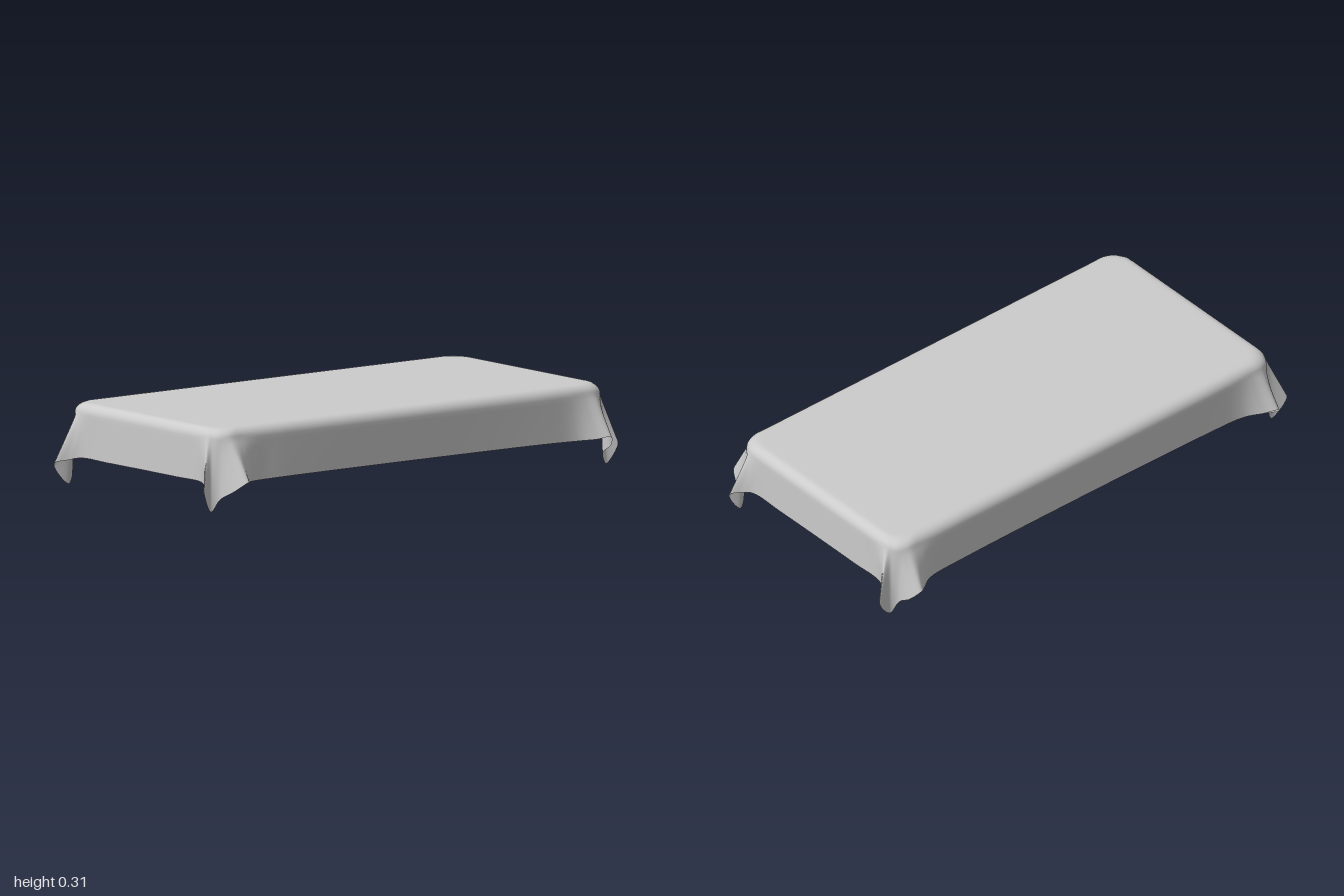
import * as THREE from 'three';

const TOP = 0.315, ROUND = 0.04, EDGE_Y = TOP - ROUND;
const HALF_X = 0.93, FRONT = 0.44, BACK = -0.47, MID_Z = (FRONT + BACK) / 2;
const STEPS = 8; // columns between two control points

// One corner, walked from the long side to the short side.
// [edge x, edge z offset, hem x, hem z offset, hem y, pull of long-side ear, pull of short-side ear]
const CORNER = [
  [0.60, 0, 0.60, 0, 0.111, 0, 0],
  [0.74, 0, 0.77, 0.01, 0.11, 0, 0],
  [0.81, 0, 0.83, 0.01, 0.115, 0.5, 0],
  [0.86, 0, 0.87, 0, 0.123, 1, 0],
  [0.885, -0.008, 0.90, 0, 0.085, 0.55, 0],
  [0.905, -0.022, 0.907, -0.01, 0.05, 0, 0],
  [0.918, -0.042, 0.937, -0.025, 0.005, 0, 0],
  [0.927, -0.06, 0.93, -0.015, 0.085, 0, 1],
  [0.93, -0.09, 0.93, -0.05, 0.10, 0, 0.4],
  [0.93, -0.13, 0.933, -0.09, 0.11, 0, 0],
  [0.93, -0.25, 0.93, -0.25, 0.111, 0, 0],
];

// Side signs and the small differences between the four draped corners
const CORNERS = [
  { sx: 1, sz: 1, shift: 0.015, earZ: 0.07, earX: 0.055 },
  { sx: 1, sz: -1, shift: -0.005, earZ: 0.07, earX: 0.07 },
  { sx: -1, sz: -1, shift: 0.015, earZ: 0.07, earX: 0.07 },
  { sx: -1, sz: 1, shift: -0.02, earZ: 0.09, earX: 0.05 },
];

// Closed curves for the table edge and for the hem, with matching points
function buildLoops() {
  const edge = [], hem = [];
  for (const { sx, sz, shift, earZ, earX } of CORNERS) {
    const side = sz > 0 ? FRONT : -BACK;
    const rows = sx * sz > 0 ? CORNER : [...CORNER].reverse();
    for (const [ex, ez, hx, hz, hy, a, b] of rows) {
      edge.push(new THREE.Vector3(sx * ex, EDGE_Y, sz * (side + ez)));
      hem.push(new THREE.Vector3(sx * (hx + a * shift + b * earX), hy, sz * (side + hz + a * earZ)));
    }
  }
  return [edge, hem].map((points) => new THREE.CatmullRomCurve3(points, true));
}

// Points of one strip from the middle of the top, over the edge, down to the hem
function strip(e, h) {
  const inX = e.x * (1 - ROUND / HALF_X);
  const inZ = MID_Z + (e.z - MID_Z) * (1 - ROUND / (FRONT - MID_Z));
  const points = [];
  for (const s of [0, 0.5, 0.9, 0.98]) {
    points.push([inX * s, TOP, MID_Z + (inZ - MID_Z) * s]);
  }
  for (let k = 0; k <= 6; k++) {
    const angle = (k / 6) * Math.PI / 2, out = Math.sin(angle);
    points.push([inX + (e.x - inX) * out, EDGE_Y + ROUND * Math.cos(angle), inZ + (e.z - inZ) * out]);
  }
  for (let k = 1; k <= 10; k++) points.push(e.clone().lerp(h, k / 10).toArray());
  return points;
}

function clothGeometry() {
  const [edge, hem] = buildLoops();
  const columns = CORNERS.length * CORNER.length * STEPS;
  const positions = [], index = [];
  let rows = 0;
  for (let i = 0; i < columns; i++) {
    const points = strip(edge.getPoint(i / columns), hem.getPoint(i / columns));
    rows = points.length;
    positions.push(...points.flat());
  }
  for (let i = 0; i < columns; i++) {
    const next = (i + 1) % columns;
    for (let j = 0; j < rows - 1; j++) {
      const a = i * rows + j, d = next * rows + j;
      index.push(a, a + 1, d + 1);
      if (j > 0) index.push(a, d + 1, d);
    }
  }
  const geometry = new THREE.BufferGeometry();
  geometry.setAttribute('position', new THREE.Float32BufferAttribute(positions, 3));
  geometry.setIndex(index);
  geometry.computeVertexNormals();
  return geometry;
}

export function createModel() {
  const group = new THREE.Group();
  group.name = 'tablecloth';
  const material = new THREE.MeshStandardMaterial({ color: 0xcccccc, side: THREE.DoubleSide });
  const cloth = new THREE.Mesh(clothGeometry(), material);
  cloth.name = 'drapedCloth';
  group.add(cloth);
  return group;
}
